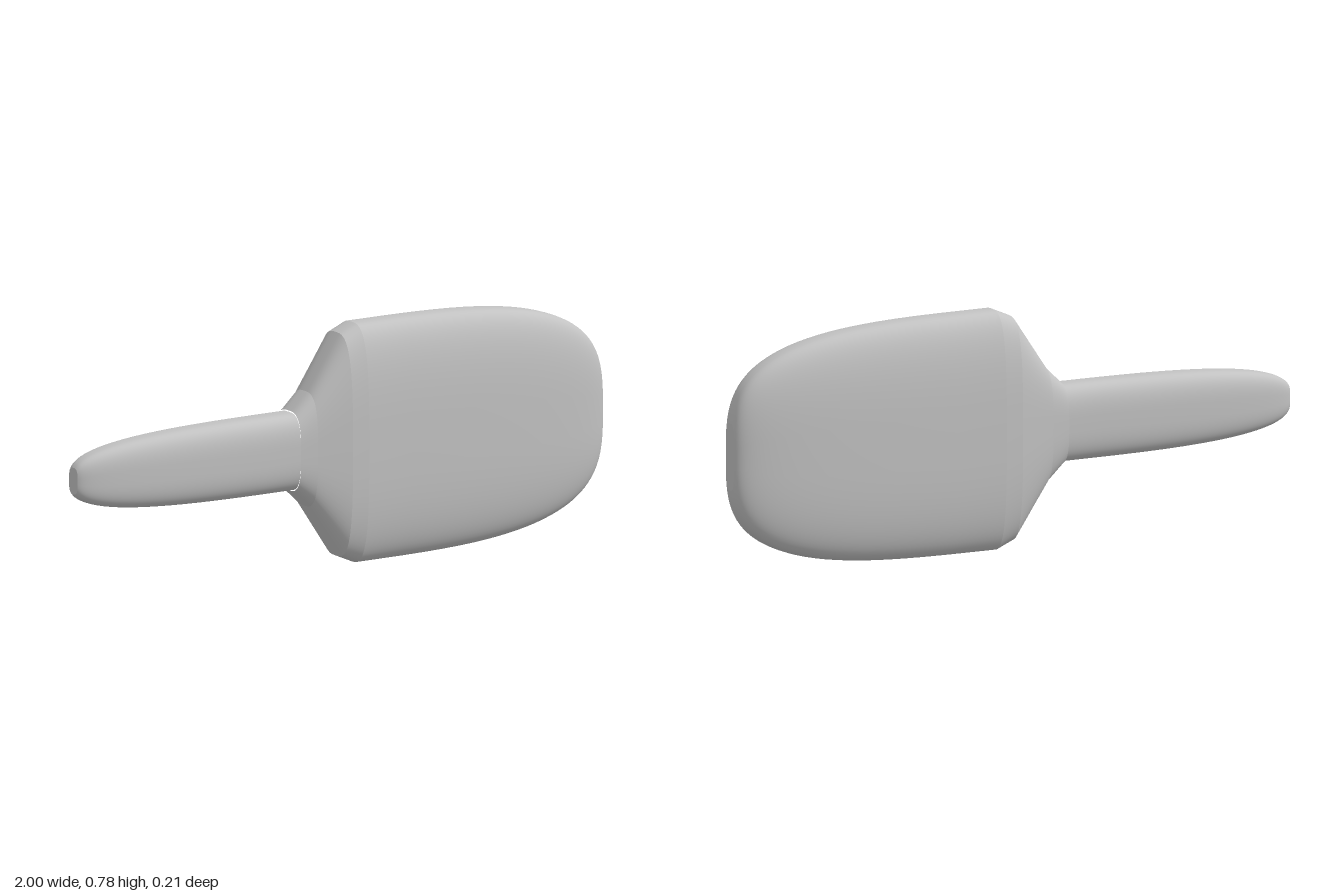
import * as THREE from 'three';

const MID_Y = 0.39;
const SIDES = 72;
const grey = new THREE.MeshStandardMaterial({ color: 0xc2c2c2 });
grey.name = 'plain grey';

// Signed power, used for rounded-rectangle (superellipse) outlines
const spow = (v, p) => Math.sign(v) * Math.abs(v) ** p;

// Skin a row of sections [x, half height, half depth], ordered by rising x
function loft(name, sections, capStart = false, capEnd = false) {
  const positions = [], index = [];
  const addRing = ([x, h, d]) => {
    for (let j = 0; j < SIDES; j++) {
      const a = (j / SIDES) * Math.PI * 2;
      positions.push(x, MID_Y + h * spow(Math.cos(a), 0.64), d * spow(Math.sin(a), 0.64));
    }
  };
  sections.forEach(addRing);
  for (let i = 0; i < sections.length - 1; i++) {
    for (let j = 0; j < SIDES; j++) {
      const k = (j + 1) % SIDES;
      const a = i * SIDES + j, b = i * SIDES + k;
      index.push(a, b, a + SIDES, b, b + SIDES, a + SIDES);
    }
  }
  // Flat end faces with their own vertices, so the rim stays crisp
  const addCap = (section, atEnd) => {
    const first = positions.length / 3;
    addRing(section);
    positions.push(section[0], MID_Y, 0);
    for (let j = 0; j < SIDES; j++) {
      const a = first + j, b = first + ((j + 1) % SIDES);
      index.push(first + SIDES, ...(atEnd ? [a, b] : [b, a]));
    }
  };
  if (capStart) addCap(sections[0], false);
  if (capEnd) addCap(sections[sections.length - 1], true);

  const geometry = new THREE.BufferGeometry();
  geometry.setAttribute('position', new THREE.Float32BufferAttribute(positions, 3));
  geometry.setIndex(index);
  geometry.computeVertexNormals();
  const mesh = new THREE.Mesh(geometry, grey);
  mesh.name = name;
  return mesh;
}

// Sections that swell shut from a full root to a small blunt tip
function taper(rootX, tipX, h, d, power, tipScale) {
  const steps = 28, sections = [];
  for (let i = 0; i <= steps; i++) {
    const s = 1 - (1 - tipScale) * (i / steps) ** 2;
    const t = (1 - s ** power) ** (1 / power);
    const tEnd = (1 - tipScale ** power) ** (1 / power);
    sections.push([rootX + (tipX - rootX) * (t / tEnd), h * s, d * s]);
  }
  return sections;
}

export function createModel() {
  const model = new THREE.Group();
  model.name = 'paddle';

  // Slim grip
  model.add(loft('handle', taper(-0.18, -1, 0.126, 0.073, 3.2, 0.34).reverse(), true));

  // Flared shoulder in three straight bands
  const shoulder = new THREE.Group();
  shoulder.name = 'shoulder';
  const flare = [[-0.18, 0.13, 0.074], [-0.12, 0.187, 0.081], [0, 0.364, 0.101], [0.06, 0.39, 0.104]];
  for (let i = 0; i < 3; i++) shoulder.add(loft('shoulderBand', [flare[i], flare[i + 1]]));
  model.add(shoulder);

  // Broad blade
  model.add(loft('blade', taper(0.06, 1, 0.39, 0.104, 3.4, 0.28), false, true));
  return model;
}
